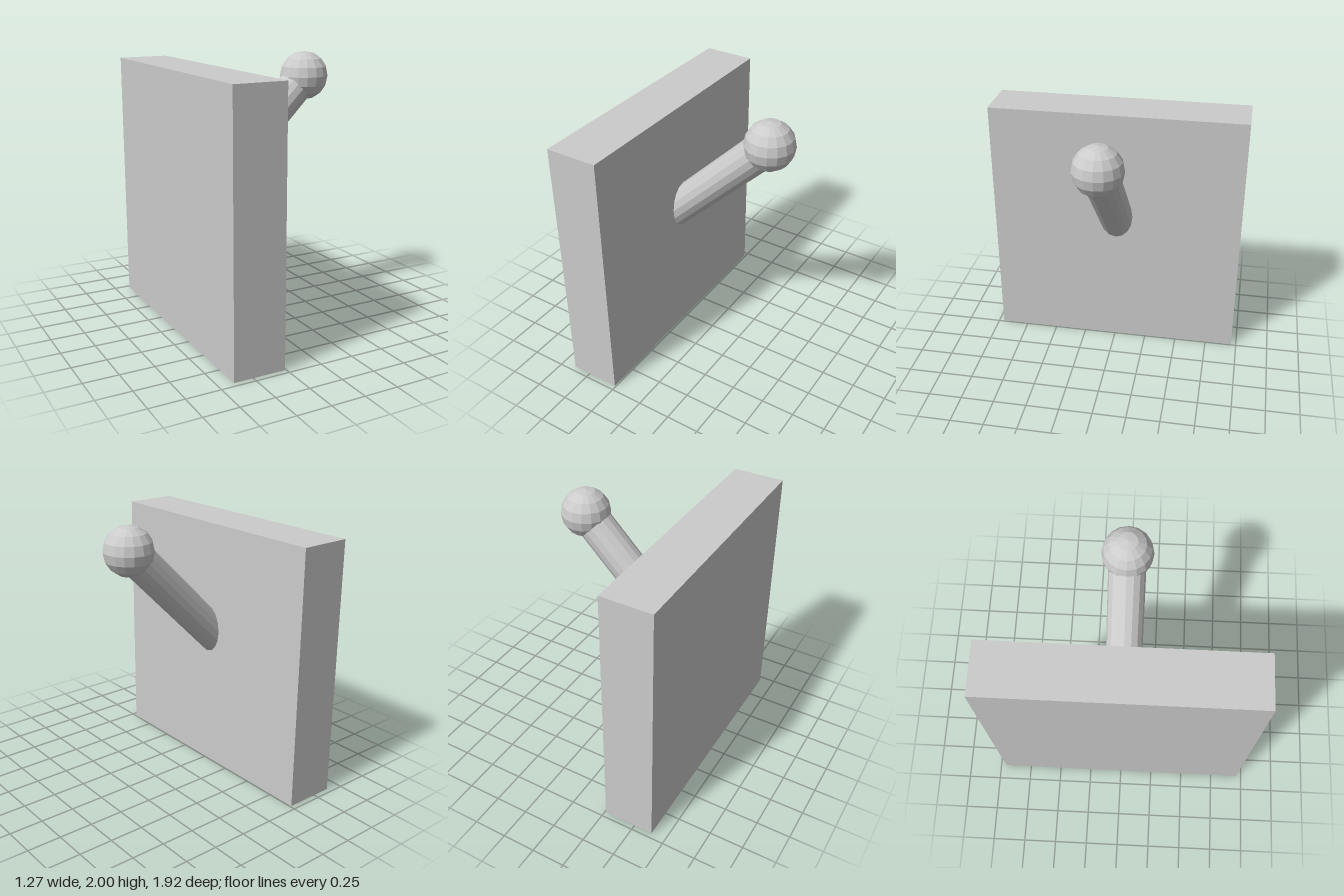
import * as THREE from 'three';

export function createModel() {
  const group = new THREE.Group();
  const material = new THREE.MeshStandardMaterial({ color: 0xcccccc, flatShading: true });

  const add = (name, geometry, position) => {
    const mesh = new THREE.Mesh(geometry, material);
    mesh.name = name;
    mesh.position.copy(position);
    group.add(mesh);
    return mesh;
  };

  // Upright square wall plate
  add('wallPlate', new THREE.BoxGeometry(0.38, 1.92, 1.92), new THREE.Vector3(-0.45, 0.96, 0));

  // Peg rising at 45 degrees, its lower end sunk into the plate
  const foot = new THREE.Vector3(-0.42, 0.945, 0);
  const tip = new THREE.Vector3(0.452, 1.82, 0);
  const axis = tip.clone().sub(foot);
  const peg = add('peg', new THREE.CylinderGeometry(0.13, 0.13, axis.length(), 16),
    foot.clone().lerp(tip, 0.5));
  peg.quaternion.setFromUnitVectors(new THREE.Vector3(0, 1, 0), axis.normalize());

  // Faceted ball on the end of the peg
  add('ballEnd', new THREE.SphereGeometry(0.18, 16, 8), tip);

  return group;
}
